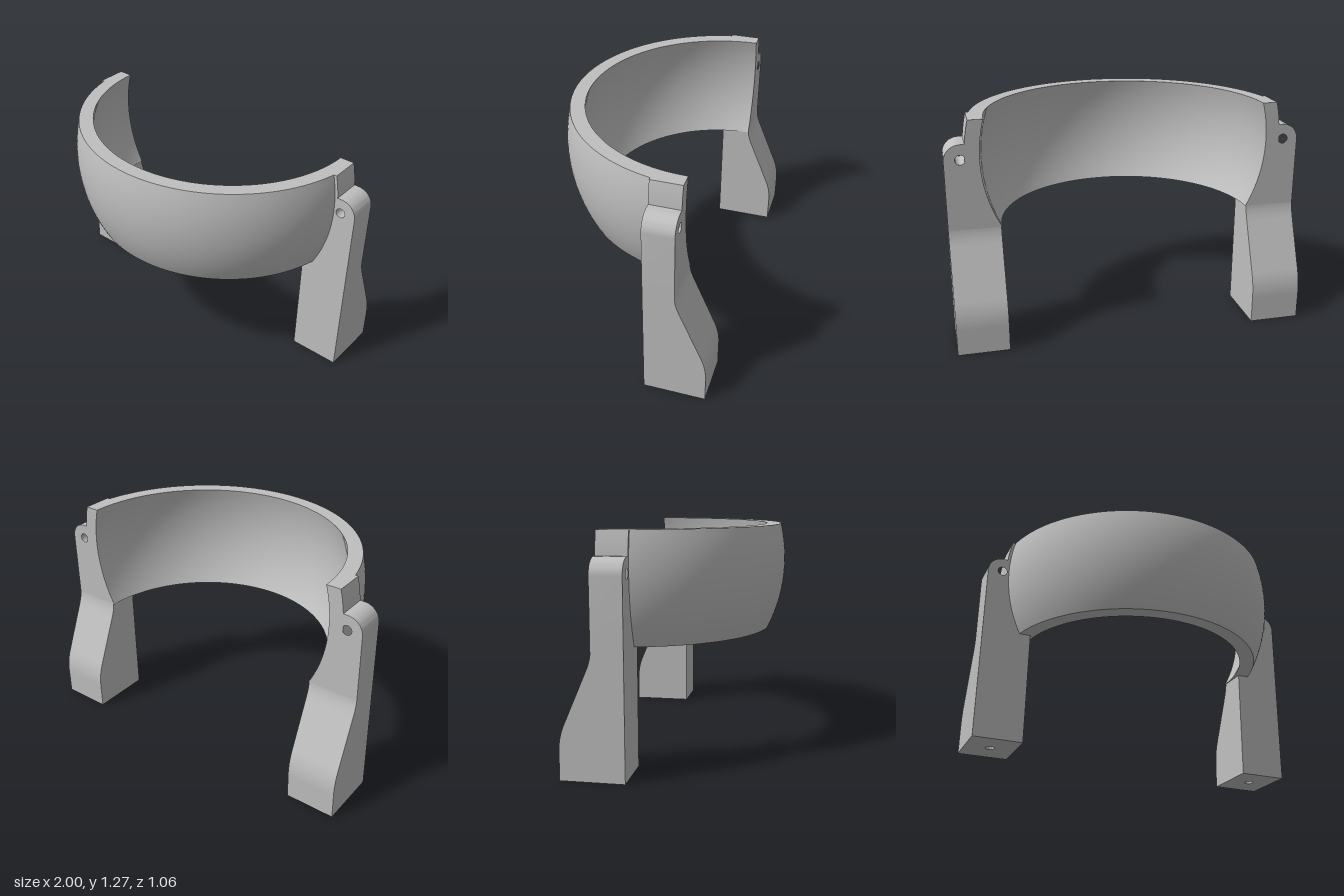
import * as THREE from 'three';
import { toCreasedNormals } from 'three/addons/utils/BufferGeometryUtils.js';

const AXIS_Z = -0.357;              // axis of the bowl and plane of its cut back
const CENTRE_Y = 1.06;              // centre height of the spherical band
const BOTTOM = 0.666, TOP = 1.275;  // band limits
const R_OUT = 0.89, R_IN = 0.81;
const LEG_FRONT = -0.186, LEG_BACK = -0.532;
const LEG_IN = 0.713, LEG_OUT = 1, FOOT_TOP = 0.15;

// Points on a sphere's outline, from height y0 to height y1
function arc(radius, y0, y1, n) {
  const a0 = Math.asin((y0 - CENTRE_Y) / radius);
  const a1 = Math.asin((y1 - CENTRE_Y) / radius);
  return Array.from({ length: n + 1 }, (_, i) => {
    const a = a0 + (a1 - a0) * i / n;
    return new THREE.Vector2(radius * Math.cos(a), CENTRE_Y + radius * Math.sin(a));
  });
}

const flipX = (points, s) => points.map(p => new THREE.Vector2(p.x * s, p.y));

function circleHole(x, y, r) {
  return new THREE.Path().absarc(x, y, r, 0, Math.PI * 2, true);
}

function extrude(shape, depth) {
  return new THREE.ExtrudeGeometry(shape, { depth, bevelEnabled: false, curveSegments: 20 });
}

export function createModel() {
  const model = new THREE.Group();
  model.name = 'curvedHolder';
  const grey = new THREE.MeshStandardMaterial({ color: 0xbfbfbf });
  grey.name = 'plainGrey';

  const add = (parent, geometry, name) => {
    const mesh = new THREE.Mesh(toCreasedNormals(geometry, 0.5), grey);
    mesh.name = name;
    parent.add(mesh);
    return mesh;
  };

  // Half ring cut from a hollow sphere
  const section = [...arc(R_OUT, BOTTOM, TOP, 20), ...arc(R_IN, TOP, BOTTOM, 20)];
  const loop = [...section, section[0].clone()];
  add(model, new THREE.LatheGeometry(loop, 80, -Math.PI / 2, Math.PI), 'band')
    .position.z = AXIS_Z;

  for (const s of [1, -1]) {
    const side = new THREE.Group();
    side.name = s > 0 ? 'leftSupport' : 'rightSupport';
    model.add(side);

    // Flat back end of the band
    const cap = new THREE.ShapeGeometry(new THREE.Shape(flipX(section, -s)));
    cap.rotateY(Math.PI);
    add(side, cap, 'bandEnd').position.z = AXIS_Z;

    // Upper bracket with a rounded ear and a pin hole
    const ear = Array.from({ length: 13 }, (_, i) => {
      const a = i / 12 * Math.PI / 2;
      return new THREE.Vector2(0.91 + 0.09 * Math.cos(a), 1.055 + 0.09 * Math.sin(a));
    });
    const outline = [
      new THREE.Vector2(LEG_OUT, BOTTOM), ...ear,
      ...arc(R_OUT, 1.145, TOP, 6), ...arc(0.83, TOP, BOTTOM, 16),
    ];
    const bracket = new THREE.Shape(flipX(outline, s));
    bracket.holes.push(circleHole(s * 0.913, CENTRE_Y, 0.027));
    add(side, extrude(bracket, LEG_FRONT - AXIS_Z), 'bracket').position.z = AXIS_Z;

    // Leg, sweeping backward toward the foot (drawn from the side)
    const leg = new THREE.Shape();
    leg.moveTo(-LEG_FRONT, FOOT_TOP);
    leg.lineTo(-LEG_BACK, FOOT_TOP);
    leg.bezierCurveTo(0.532, 0.21, 0.52, 0.26, 0.497, 0.31);
    leg.lineTo(0.385, 0.57);
    leg.quadraticCurveTo(0.36, 0.625, -AXIS_Z, BOTTOM);
    leg.lineTo(-LEG_FRONT, BOTTOM);
    const legGeometry = extrude(leg, LEG_OUT - LEG_IN);
    legGeometry.rotateY(Math.PI / 2);
    add(side, legGeometry, 'leg').position.x = s > 0 ? LEG_IN : -LEG_OUT;

    // Foot block with a screw hole underneath
    const [x0, x1] = s > 0 ? [LEG_IN, LEG_OUT] : [-LEG_OUT, -LEG_IN];
    const foot = new THREE.Shape([
      new THREE.Vector2(x0, -LEG_FRONT), new THREE.Vector2(x1, -LEG_FRONT),
      new THREE.Vector2(x1, -LEG_BACK), new THREE.Vector2(x0, -LEG_BACK),
    ]);
    foot.holes.push(circleHole((x0 + x1) / 2, -(LEG_FRONT + LEG_BACK) / 2, 0.027));
    const footGeometry = extrude(foot, FOOT_TOP);
    footGeometry.rotateX(-Math.PI / 2);
    add(side, footGeometry, 'foot');
  }
  return model;
}
